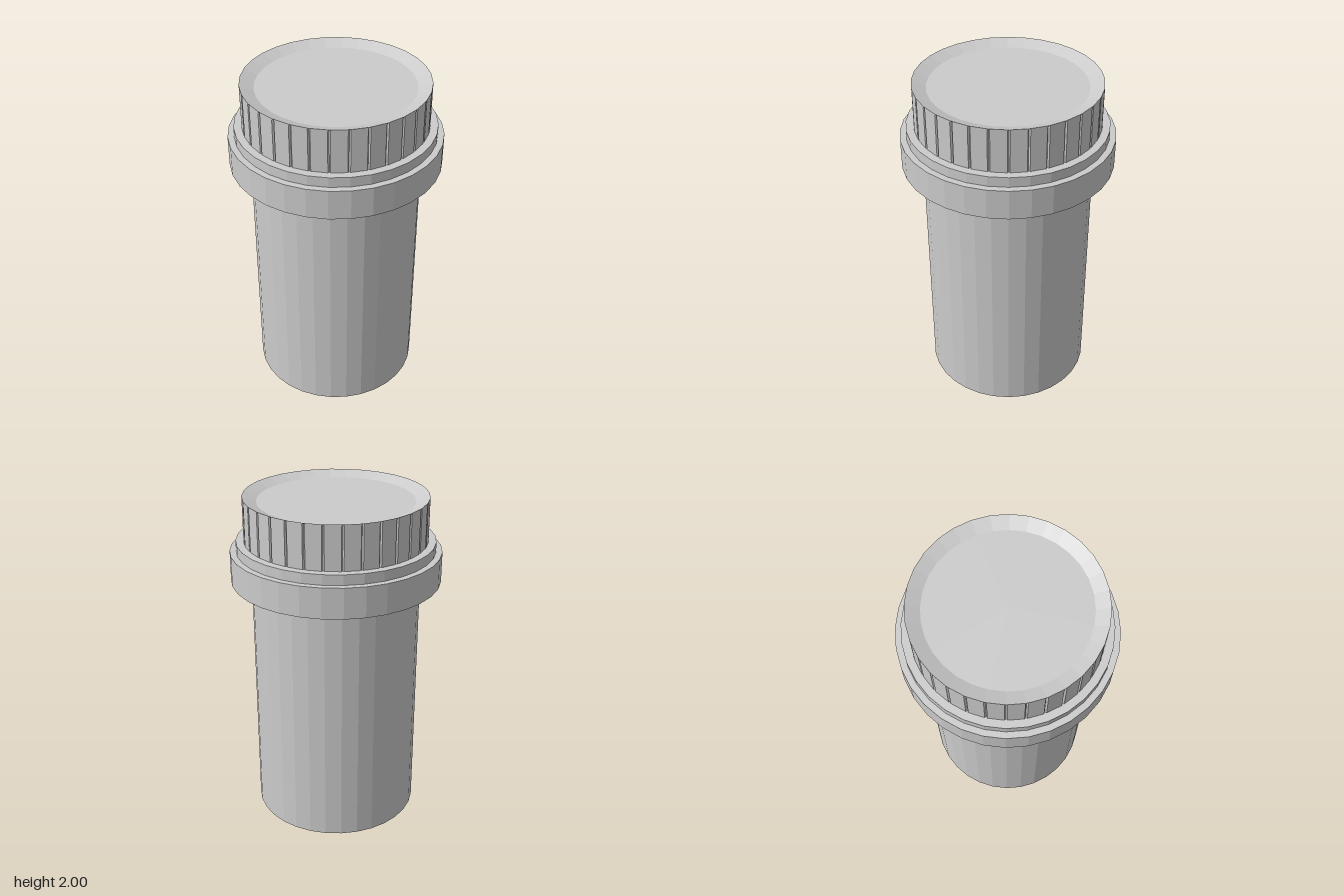
import * as THREE from 'three';

const SIDES = 32;
const CAP_R = 0.535;

const material = new THREE.MeshStandardMaterial({ color: 0xcccccc, flatShading: true });

// Faceted solid of revolution; profile runs from the bottom centre outward and up
function turned(name, profile) {
  const points = profile.map(([r, y]) => new THREE.Vector2(r, y));
  const mesh = new THREE.Mesh(new THREE.LatheGeometry(points, SIDES), material);
  mesh.name = name;
  return mesh;
}

// One loop round the cap: a corner (pulled in by depth) and the two groove edges on each flat
function capRing(y, depth) {
  const ring = [];
  const corner = (i, r) => {
    const a = (i / SIDES) * Math.PI * 2;
    return new THREE.Vector3(Math.sin(a) * r, y, Math.cos(a) * r);
  };
  for (let i = 0; i < SIDES; i++) {
    const a = corner(i, CAP_R), b = corner(i + 1, CAP_R);
    ring.push(corner(i, CAP_R - depth), a.clone().lerp(b, 0.07), a.clone().lerp(b, 0.93));
  }
  return ring;
}

// Join stacked loops into an outward-facing wall
function loft(name, rings) {
  const n = rings[0].length;
  const positions = rings.flat().flatMap((p) => p.toArray());
  const index = [];
  for (let k = 0; k < rings.length - 1; k++) {
    for (let i = 0; i < n; i++) {
      const a = k * n + i, b = k * n + ((i + 1) % n);
      index.push(a, b, b + n, a, b + n, a + n);
    }
  }
  const geometry = new THREE.BufferGeometry();
  geometry.setAttribute('position', new THREE.Float32BufferAttribute(positions, 3));
  geometry.setIndex(index);
  geometry.computeVertexNormals();
  const mesh = new THREE.Mesh(geometry, material);
  mesh.name = name;
  return mesh;
}

export function createModel() {
  const model = new THREE.Group();
  model.name = 'cappedBottle';

  // Straight cylindrical container
  model.add(turned('body', [[0, 0], [0.495, 0], [0.495, 1.5]]));

  // Stepped collar below the cap
  model.add(turned('collar', [
    [0.495, 1.5], [0.617, 1.5], [0.617, 1.68], [0.58, 1.68], [0.58, 1.74], [0.5, 1.74],
  ]));

  // Cap with a grooved grip and a dished top
  const cap = new THREE.Group();
  cap.name = 'cap';
  cap.add(loft('grip', [capRing(1.74, 0.01), capRing(1.99, 0.01), capRing(2, 0)]));
  cap.add(turned('dishedTop', [[CAP_R, 2], [0.455, 1.97], [0, 1.97]]));
  model.add(cap);

  return model;
}
